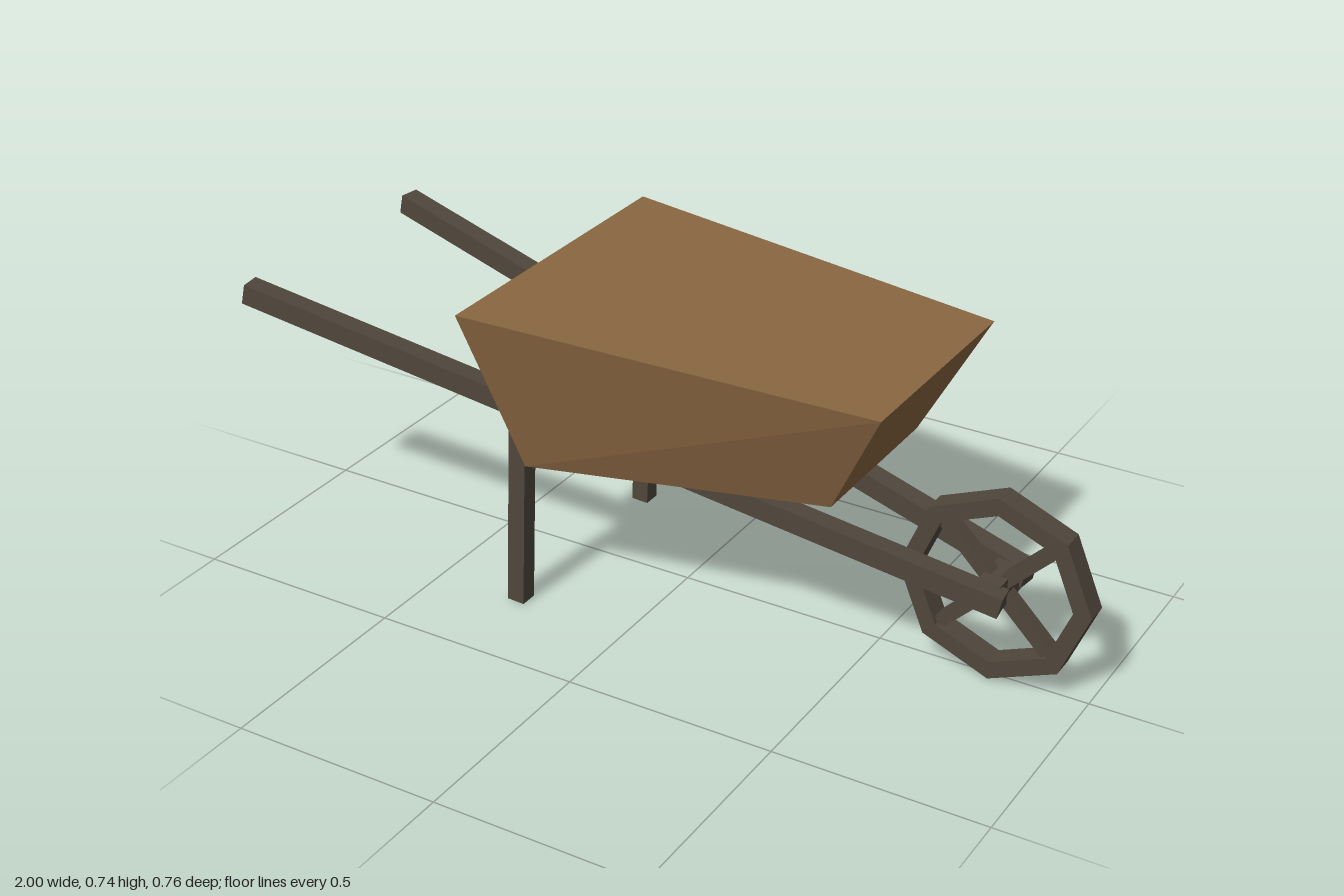
import * as THREE from 'three';

const lightWood = new THREE.MeshStandardMaterial({ color: 0x8a6642 });
lightWood.name = 'lightWood';
const darkWood = new THREE.MeshStandardMaterial({ color: 0x50473c });
darkWood.name = 'darkWood';

function addMesh(parent, name, geometry, material) {
  const mesh = new THREE.Mesh(geometry, material);
  mesh.name = name;
  parent.add(mesh);
  return mesh;
}

// Square timber running between two points
function addBeam(parent, name, from, to, size) {
  const a = new THREE.Vector3(...from);
  const b = new THREE.Vector3(...to);
  const beam = addMesh(parent, name, new THREE.BoxGeometry(size, size, a.distanceTo(b)), darkWood);
  beam.position.copy(a).add(b).multiplyScalar(0.5);
  beam.lookAt(b);
  return beam;
}

// Tapered closed tub: corners run rear left, front left, front right, rear right
function tubGeometry() {
  const ring = (rear, front) => [
    [rear[0], rear[1], rear[2]], [front[0], front[1], front[2]],
    [front[0], front[1], -front[2]], [rear[0], rear[1], -rear[2]],
  ].flat();
  const corners = [
    ...ring([-0.245, 0.365, 0.29], [0.47, 0.43, 0.204]),
    ...ring([-0.35, 0.745, 0.38], [0.61, 0.70, 0.27]),
  ];
  const indexed = new THREE.BufferGeometry();
  indexed.setAttribute('position', new THREE.Float32BufferAttribute(corners, 3));
  indexed.setIndex([
    0, 1, 5, 0, 5, 4, // left side
    3, 6, 2, 3, 7, 6, // right side
    1, 2, 6, 1, 6, 5, // front
    3, 0, 4, 3, 4, 7, // rear
    4, 5, 6, 4, 6, 7, // top
    0, 3, 2, 0, 2, 1, // bottom
  ]);
  const geometry = indexed.toNonIndexed();
  geometry.computeVertexNormals();
  return geometry;
}

// Octagonal wheel with two crossing spoke bars and a short axle
function buildWheel() {
  const wheel = new THREE.Group();
  wheel.name = 'wheel';
  const octagon = (radius) => Array.from({ length: 8 }, (_, i) => {
    const a = (i * Math.PI) / 4;
    return new THREE.Vector2(Math.cos(a) * radius, Math.sin(a) * radius);
  });
  const width = 0.056;
  const shape = new THREE.Shape(octagon(0.225));
  shape.holes.push(new THREE.Path(octagon(0.183)));
  const rim = new THREE.ExtrudeGeometry(shape, { depth: width, bevelEnabled: false });
  rim.translate(0, 0, -width / 2);
  addMesh(wheel, 'rim', rim, darkWood);
  for (const side of [-1, 1]) {
    const spoke = addMesh(wheel, 'spoke', new THREE.BoxGeometry(0.39, 0.03, 0.036), darkWood);
    spoke.rotation.z = (side * Math.PI) / 4;
  }
  const axle = new THREE.BoxGeometry(0.056, 0.064, 0.114);
  addMesh(wheel, 'axle', axle, darkWood);
  wheel.position.set(0.774, 0.228, 0);
  return wheel;
}

export function createModel() {
  const model = new THREE.Group();
  model.name = 'wheelbarrow';
  addMesh(model, 'tub', tubGeometry(), lightWood);
  for (const side of [1, -1]) {
    const label = side > 0 ? 'left' : 'right';
    addBeam(model, label + 'Handle', [-0.99, 0.622, side * 0.305], [0.815, 0.229, side * 0.069], 0.049);
    addBeam(model, label + 'Leg', [-0.285, 0.001, side * 0.269], [-0.264, 0.455, side * 0.269], 0.043);
  }
  model.add(buildWheel());
  return model;
}
